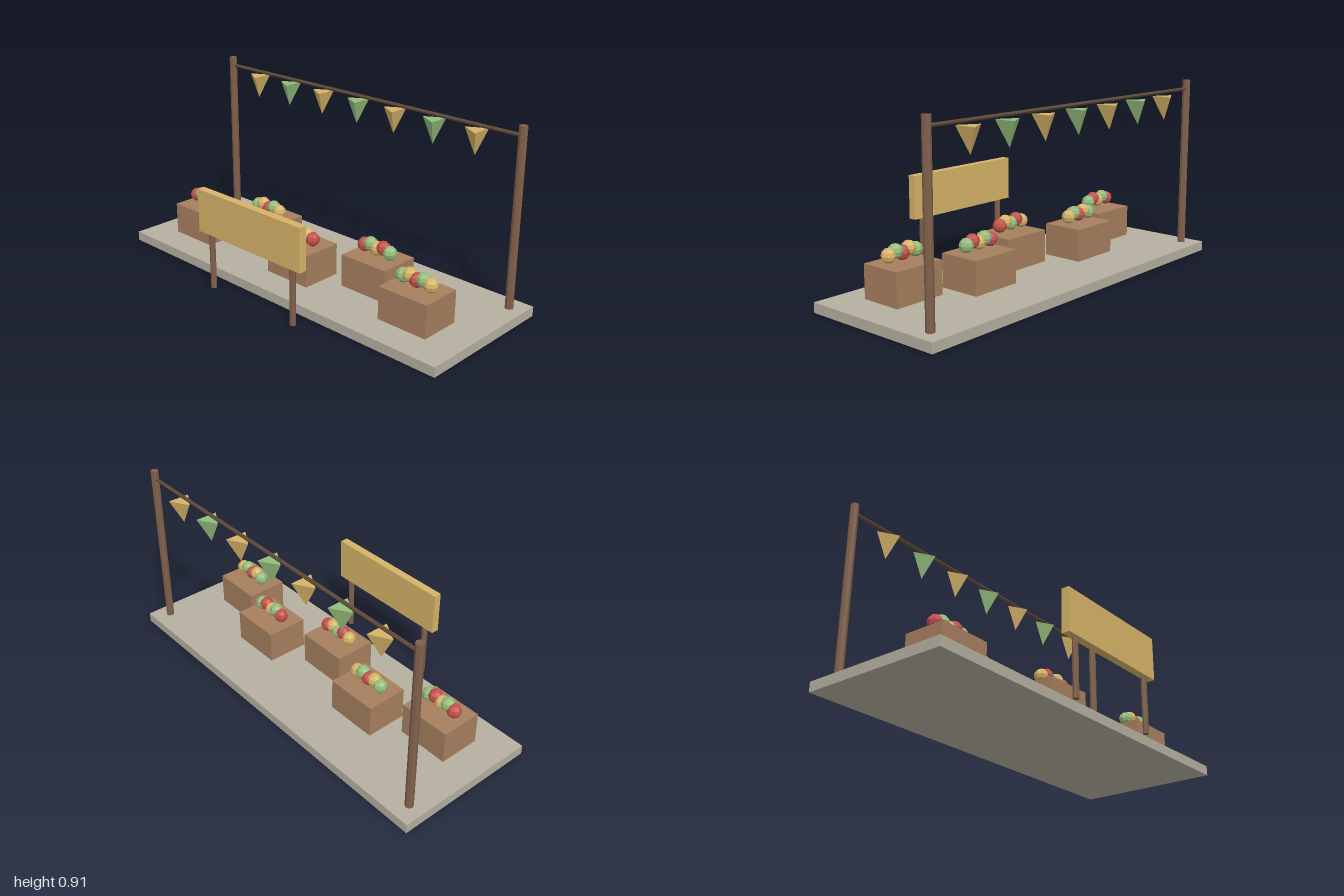
import * as THREE from 'three';

const mat = (color) => new THREE.MeshStandardMaterial({ color, flatShading: true });

export function createModel() {
  const model = new THREE.Group();
  const stone = mat(0xb5afa0), wood = mat(0x80604a), darkWood = mat(0x614a3a), crateWood = mat(0xa67f5e);
  const gold = mat(0xd6b468), green = mat(0x94bd7c), red = mat(0xc4504c);

  const add = (name, geometry, material, x, y, z, parent = model) => {
    const mesh = new THREE.Mesh(geometry, material);
    mesh.name = name;
    mesh.position.set(x, y, z);
    parent.add(mesh);
    return mesh;
  };

  // Platform
  add('platform', new THREE.BoxGeometry(2, 0.048, 0.735), stone, 0, 0.024, -0.053);

  // Two tall poles and the line between them
  const lineZ = -0.334;
  const poleGeo = new THREE.CylinderGeometry(0.02, 0.02, 0.912, 8);
  for (const s of [-1, 1]) add('bannerPole', poleGeo, wood, s * 0.926, 0.457, lineZ);
  const rope = new THREE.CylinderGeometry(0.009, 0.009, 1.852, 6).rotateZ(Math.PI / 2);
  add('bannerLine', rope, darkWood, 0, 0.868, lineZ);

  // Pennants: three-sided cones pointing down
  const pennants = new THREE.Group();
  pennants.name = 'pennants';
  model.add(pennants);
  const pennantGeo = new THREE.ConeGeometry(0.063, 0.12, 3).rotateX(Math.PI).rotateY(Math.PI / 2);
  for (let i = 0; i < 7; i++) {
    add('pennant', pennantGeo, i % 2 ? green : gold, -0.722 + i * 0.235, 0.785, lineZ, pennants);
  }

  // Staggered crates, each topped by a row of five fruits
  const crateGeo = new THREE.BoxGeometry(0.264, 0.161, 0.21);
  const fruitGeo = new THREE.SphereGeometry(0.035, 8, 6);
  const fruitColors = [red, green, gold];
  [-0.709, -0.37, -0.003, 0.364, 0.704].forEach((x, i) => {
    const stall = new THREE.Group();
    stall.name = 'fruitCrate';
    stall.position.set(x, 0, i % 2 ? -0.068 : 0.065);
    model.add(stall);
    add('crate', crateGeo, crateWood, 0, 0.1335, 0, stall);
    for (let j = 0; j < 5; j++) {
      add('fruit', fruitGeo, fruitColors[(i + j) % 3], (j - 2) * 0.0385, j % 2 ? 0.268 : 0.255, 0.005, stall);
    }
  });

  // Sign board on two posts in front of the platform
  const sign = new THREE.Group();
  sign.name = 'sign';
  sign.position.z = 0.402;
  model.add(sign);
  add('signBoard', new THREE.BoxGeometry(0.677, 0.215, 0.04), gold, -0.002, 0.39, 0, sign);
  const postGeo = new THREE.CylinderGeometry(0.0145, 0.0145, 0.285, 8);
  for (const s of [-1, 1]) add('signPost', postGeo, wood, s * 0.272, 0.1425, 0, sign);

  return model;
}
